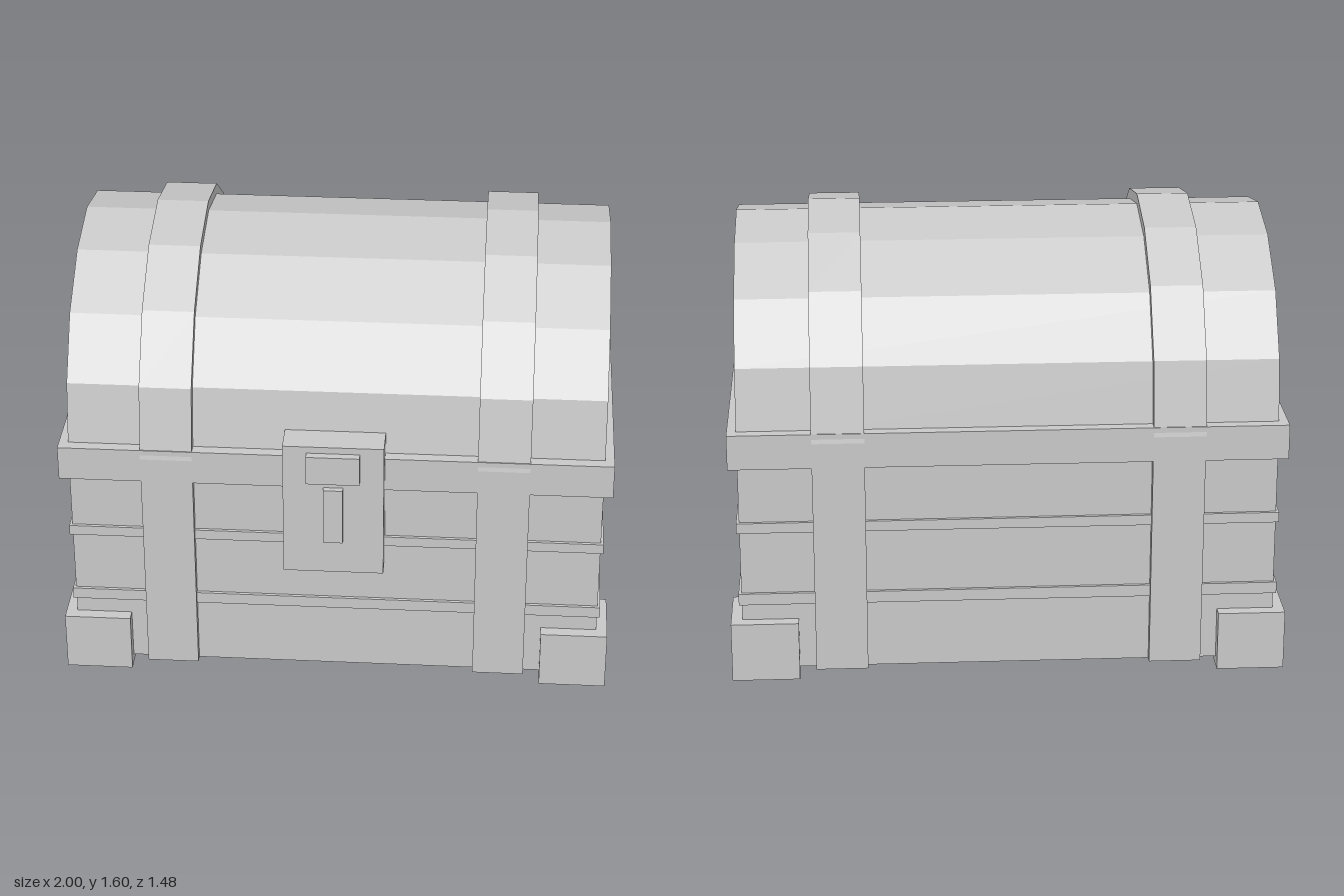
import * as THREE from 'three';

const grey = new THREE.MeshStandardMaterial({ color: 0xc8c8c8, flatShading: true, side: THREE.DoubleSide });
grey.name = 'plain grey';

const MID = -0.04; // depth centre of the chest body

export function createModel() {
  const chest = new THREE.Group();
  chest.name = 'chest';

  const add = (name, geometry) => {
    const mesh = new THREE.Mesh(geometry, grey);
    mesh.name = name;
    chest.add(mesh);
    return mesh;
  };

  // Box given by its lower and upper limits on each axis
  const box = (x0, x1, y0, y1, z0, z1) =>
    new THREE.BoxGeometry(x1 - x0, y1 - y0, z1 - z0)
      .translate((x0 + x1) / 2, (y0 + y1) / 2, (z0 + z1) / 2);

  // Mirrors half an arch (distance from centre, height), ending at its peak
  const arch = (half) => [
    ...half.map(([d, y]) => new THREE.Vector2(MID + d, y)),
    ...half.slice(0, -1).reverse().map(([d, y]) => new THREE.Vector2(MID - d, y)),
  ];

  // Extrudes a depth/height profile sideways between x0 and x1
  const extrudeAcross = (points, x0, x1) =>
    new THREE.ExtrudeGeometry(new THREE.Shape(points), { depth: x1 - x0, bevelEnabled: false })
      .rotateY(-Math.PI / 2)
      .translate(x1, 0, 0);

  const lidArch = arch([[0.655, 0.9], [0.608, 1.16], [0.47, 1.37], [0.25, 1.512], [0, 1.563]]);
  const bandArch = arch([[0.693, 0.905], [0.642, 1.172], [0.49, 1.4], [0.265, 1.548], [0, 1.6]]);

  // Body, rim and lid
  add('body', box(-0.96, 0.96, 0.03, 0.9, MID - 0.655, MID + 0.655));
  add('rim', box(-0.993, 0.993, 0.812, 0.94, MID - 0.69, MID + 0.69));
  add('lid', extrudeAcross(lidArch, -0.96, 0.96));

  // Thin boards running round the body
  for (const [y0, y1] of [[0.282, 0.325], [0.56, 0.598]]) {
    add('board', box(-0.97, 0.97, y0, y1, MID - 0.667, MID + 0.667));
  }

  for (const side of [-1, 1]) {
    const x0 = side > 0 ? 0.51 : -0.697;
    const x1 = x0 + 0.187;

    // Bands over the lid and down the front and back
    add('lidBand', extrudeAcross([...bandArch, ...lidArch.slice().reverse()], x0, x1));
    add('frontBand', box(x0, x1, 0.03, 0.83, MID + 0.64, MID + 0.686));
    add('backBand', box(x0, x1, 0.03, 0.83, MID - 0.686, MID - 0.64));

    // Corner caps, open underneath
    for (const end of [-1, 1]) {
      const cap = new THREE.BoxGeometry(0.243, 0.22, 0.247);
      const faces = Array.from(cap.index.array);
      faces.splice(18, 6);
      cap.setIndex(faces);
      cap.clearGroups();
      add('cornerCap', cap).position.set(side * 0.8785, 0.11, MID + end * 0.5765);
    }
  }

  // Lock on the front
  add('lockPlate', box(-0.18, 0.18, 0.495, 1.015, 0.59, 0.71));
  add('lockHasp', box(-0.095, 0.095, 0.88, 0.99, 0.7, 0.74));
  add('lockTongue', box(-0.035, 0.035, 0.632, 0.85, 0.7, 0.732));

  return chest;
}
